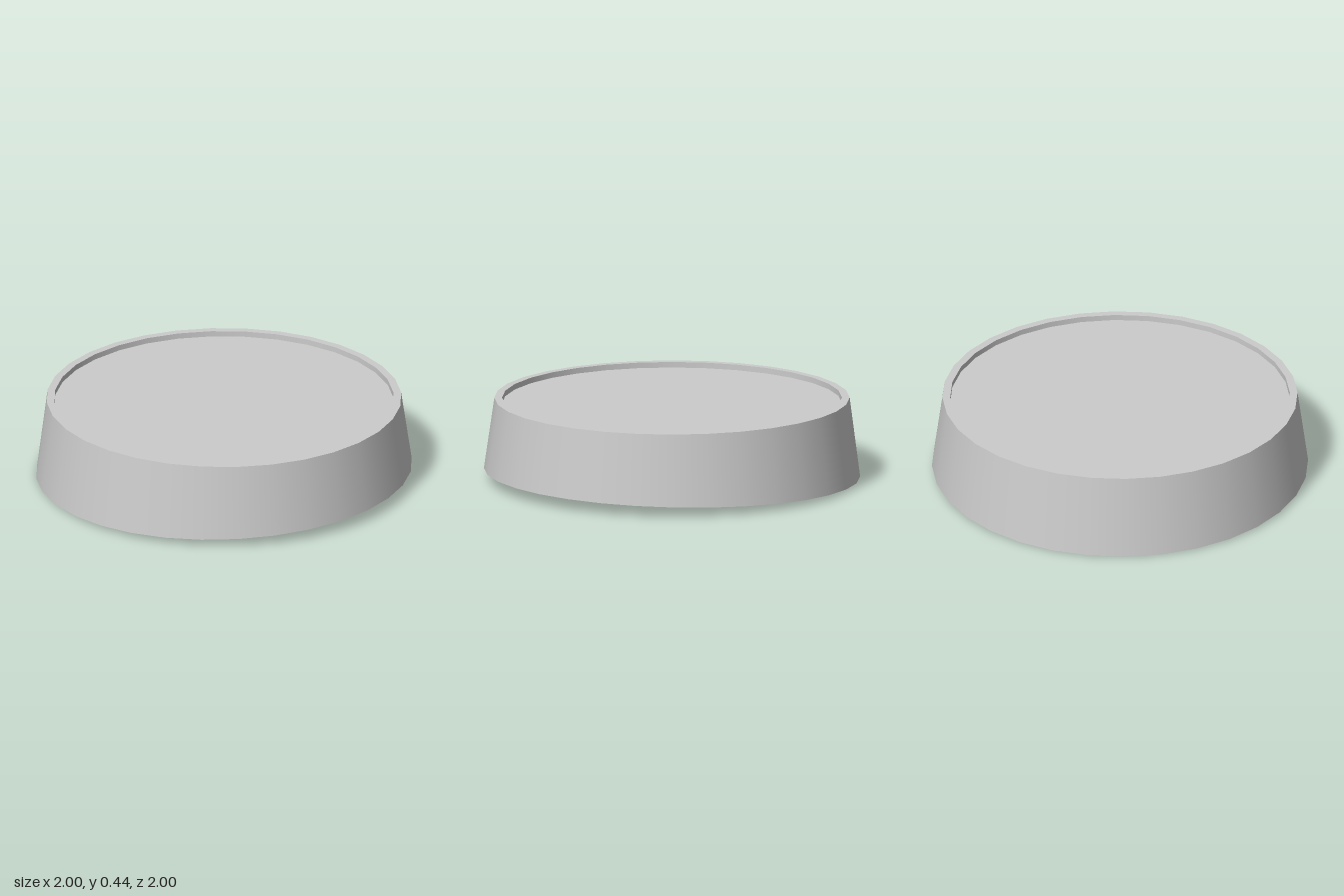
import * as THREE from 'three';

const SIDES = 32;
const START = THREE.MathUtils.degToRad(6.8);
const TOP = 0.44, RECESS = 0.03;
const R_BOTTOM = 1.002, R_TOP = 0.946, R_INNER = 0.905;

export function createModel() {
  const group = new THREE.Group();
  const material = new THREE.MeshStandardMaterial({ color: 0xcccccc, side: THREE.DoubleSide });
  const add = (name, geometry, y = 0) => {
    const mesh = new THREE.Mesh(geometry, material);
    mesh.name = name;
    mesh.position.y = y;
    group.add(mesh);
  };

  // Tapered outer wall, open below, its lower edge cut along a tilted plane
  const wall = new THREE.CylinderGeometry(R_TOP, R_BOTTOM, TOP, SIDES, 1, true, START);
  wall.translate(0, TOP / 2, 0);
  const p = wall.attributes.position;
  for (let i = 0; i < p.count; i++) {
    if (p.getY(i) < TOP / 2) p.setY(i, 0.033 + 0.009 * p.getX(i) + 0.031 * p.getZ(i));
  }
  add('outerWall', wall);

  // Flat rim around the top
  add('rim', new THREE.RingGeometry(R_INNER, R_TOP, SIDES, 1, START).rotateX(-Math.PI / 2), TOP);

  // Short step from the rim down to the recessed face, facing inward
  const step = new THREE.CylinderGeometry(R_INNER, R_INNER, RECESS, SIDES, 1, true, START);
  add('innerStep', step.scale(1, 1, 1), TOP - RECESS / 2);

  // Recessed top face
  add('topFace', new THREE.CircleGeometry(R_INNER, SIDES, START).rotateX(-Math.PI / 2), TOP - RECESS);

  return group;
}
